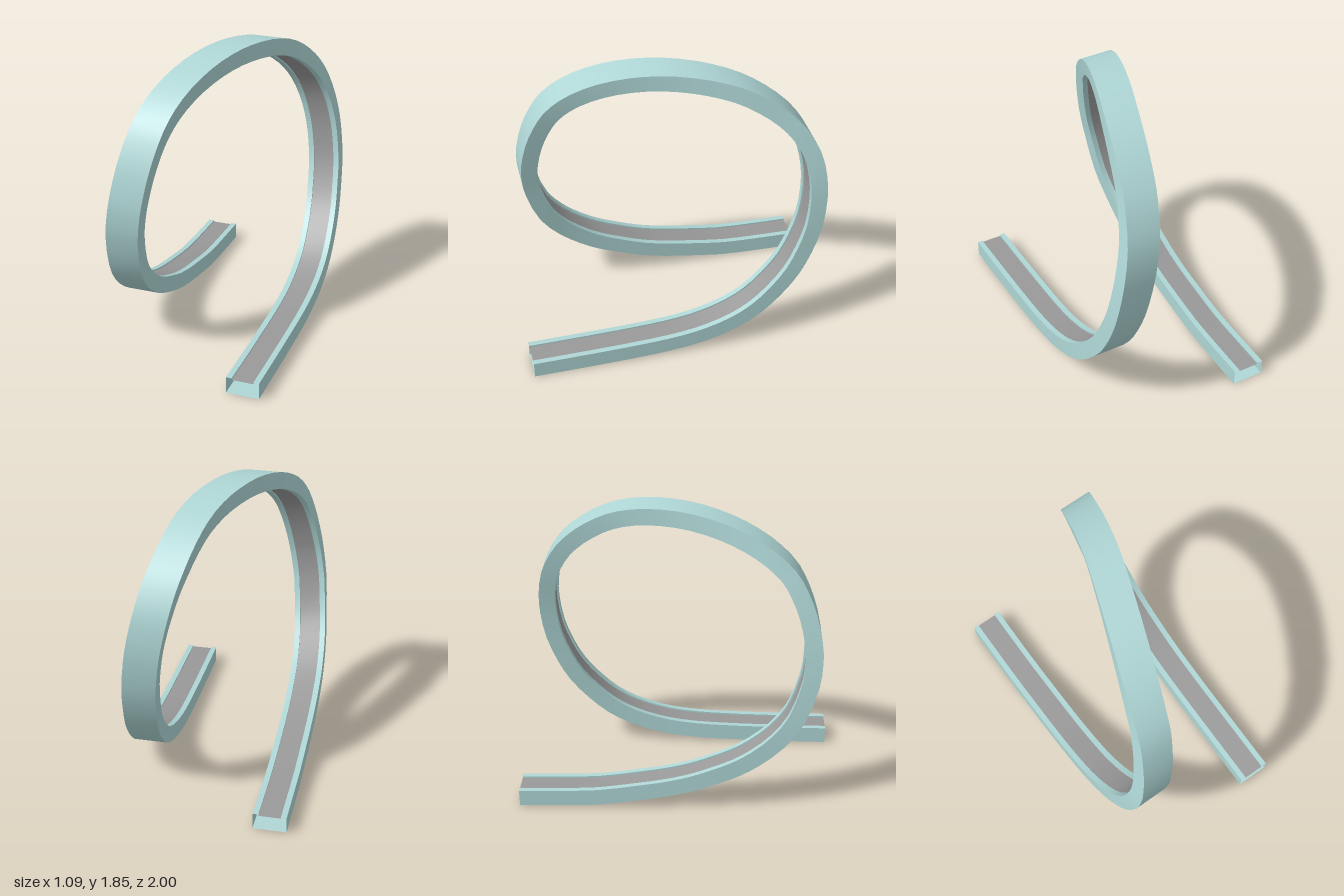
import * as THREE from 'three';
import { mergeGeometries } from 'three/addons/utils/BufferGeometryUtils.js';

// Underside of the track as [x, y, z], from the front end, round the loop, to the back end
const PATH = [
  [0.44, 0, 1], [0.44, 0.005, 0.6], [0.44, 0.016, 0.22], [0.44, 0.035, 0], [0.44, 0.067, -0.165],
  [0.438, 0.13, -0.35], [0.433, 0.215, -0.5], [0.425, 0.335, -0.635], [0.413, 0.48, -0.755],
  [0.4, 0.63, -0.835], [0.385, 0.81, -0.9], [0.36, 1.01, -0.93], [0.335, 1.16, -0.928],
  [0.3, 1.325, -0.895], [0.265, 1.475, -0.82], [0.23, 1.59, -0.725], [0.19, 1.7, -0.585],
  [0.147, 1.78, -0.435], [0.092, 1.83, -0.26], [0.025, 1.85, -0.07], [-0.04, 1.842, 0.115],
  [-0.105, 1.805, 0.3], [-0.165, 1.74, 0.475], [-0.215, 1.65, 0.625], [-0.25, 1.545, 0.735],
  [-0.28, 1.425, 0.805], [-0.31, 1.28, 0.86], [-0.34, 1.11, 0.895], [-0.357, 1, 0.9],
  [-0.38, 0.84, 0.88], [-0.403, 0.6, 0.793], [-0.422, 0.44, 0.67], [-0.433, 0.32, 0.525],
  [-0.438, 0.245, 0.4], [-0.44, 0.18, 0.25], [-0.44, 0.125, 0.1], [-0.44, 0.083, -0.07],
  [-0.44, 0.055, -0.23], [-0.44, 0.016, -0.49], [-0.44, 0.005, -0.75], [-0.44, 0, -1],
];

const W = 0.105;     // half width of the track
const H = 0.108;     // height of the track
const R = 0.069;     // half width of the road
const SINK = 0.01;   // depth of the road below the lips

export function createModel() {
  const shellMat = new THREE.MeshStandardMaterial({ color: 0xaed6d5, side: THREE.DoubleSide });
  shellMat.name = 'pale teal';
  const roadMat = new THREE.MeshStandardMaterial({ color: 0x999999, side: THREE.DoubleSide });
  roadMat.name = 'grey';

  // Frames along the path: the normal stays in the loop plane, facing its centre
  const curve = new THREE.CatmullRomCurve3(PATH.map((p) => new THREE.Vector3(...p)));
  const steps = (PATH.length - 1) * 2;
  const frames = [];
  for (let i = 0; i <= steps; i++) {
    const p = curve.getPoint(i / steps);
    const t = curve.getTangent(i / steps);
    const n = new THREE.Vector3(0, -t.z, t.y).normalize();
    const b = new THREE.Vector3().crossVectors(t, n).normalize();
    frames.push({ p, n, b });
  }

  // Ribbon swept between two profile points, smooth along its length
  function ribbon(a, c) {
    const pos = [];
    const index = [];
    frames.forEach(({ p, n, b }, i) => {
      for (const [u, v] of [a, c]) {
        const q = p.clone().addScaledVector(b, u).addScaledVector(n, v);
        pos.push(q.x, q.y, q.z);
      }
      if (i < steps) {
        const k = i * 2;
        index.push(k, k + 2, k + 1, k + 1, k + 2, k + 3);
      }
    });
    const g = new THREE.BufferGeometry();
    g.setAttribute('position', new THREE.Float32BufferAttribute(pos, 3));
    g.setIndex(index);
    g.computeVertexNormals();
    return g;
  }

  // Open-ended hollow shell: lip, side, underside, side, lip
  const profile = [
    [-R, H - SINK], [-R, H], [-W, H], [-W, 0], [W, 0], [W, H], [R, H], [R, H - SINK],
  ];
  const strips = profile.slice(1).map((c, i) => ribbon(profile[i], c));
  const shell = new THREE.Mesh(mergeGeometries(strips), shellMat);
  shell.name = 'trackShell';

  // Sunken road between the lips
  const road = new THREE.Mesh(ribbon([R, H - SINK], [-R, H - SINK]), roadMat);
  road.name = 'roadSurface';

  const group = new THREE.Group();
  group.name = 'loopTrack';
  group.add(shell, road);
  return group;
}
